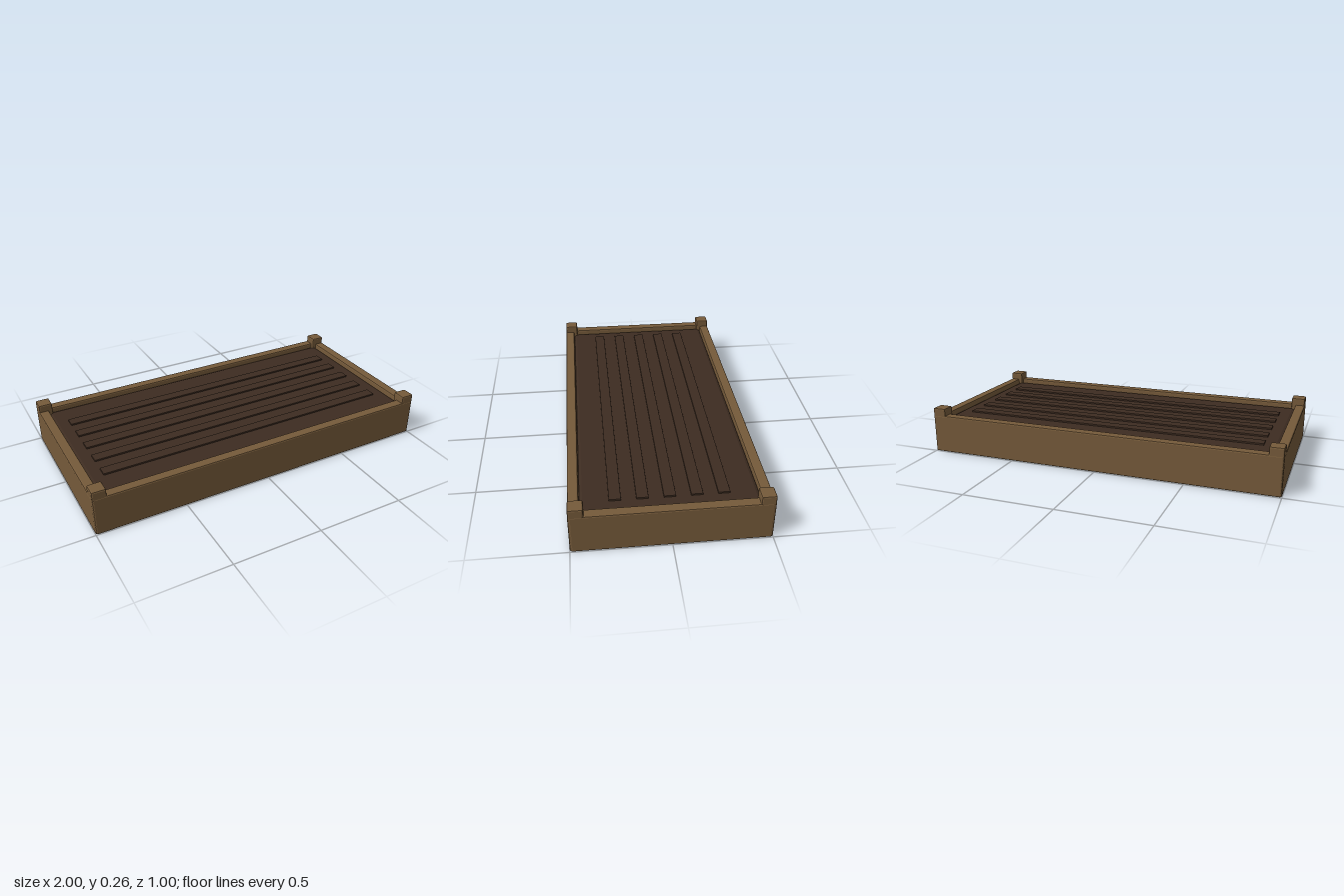
import * as THREE from 'three';
import { RoundedBoxGeometry } from 'three/addons/geometries/RoundedBoxGeometry.js';

export function createModel() {
  const bed = new THREE.Group();
  bed.name = 'raisedGardenBed';

  const wood = new THREE.MeshStandardMaterial({ color: 0x755a3a, flatShading: true });
  wood.name = 'wood';
  const soil = new THREE.MeshStandardMaterial({ color: 0x3d2c21, flatShading: true });
  soil.name = 'soil';

  // Chamfered block given by its lower and upper corners
  function block(name, material, [x0, y0, z0], [x1, y1, z1], bevel) {
    const mesh = new THREE.Mesh(new RoundedBoxGeometry(x1 - x0, y1 - y0, z1 - z0, 1, bevel), material);
    mesh.name = name;
    mesh.position.set((x0 + x1) / 2, (y0 + y1) / 2, (z0 + z1) / 2);
    bed.add(mesh);
  }

  // Mirrors a span to the negative side
  const span = (s, a, b) => (s > 0 ? [a, b] : [-b, -a]);

  const rim = 0.218;
  for (const s of [1, -1]) {
    // Long and short outer boards
    const [z0, z1] = span(s, 0.445, 0.5);
    block(s > 0 ? 'frontBoard' : 'backBoard', wood, [-0.998, 0, z0], [0.998, rim, z1], 0.008);
    const [x0, x1] = span(s, 0.945, 1);
    block(s > 0 ? 'leftBoard' : 'rightBoard', wood, [x0, 0, -0.495], [x1, rim, 0.495], 0.008);

    // Corner posts standing above the rim
    for (const t of [1, -1]) {
      const [px0, px1] = span(s, 0.922, 0.999);
      const [pz0, pz1] = span(t, 0.423, 0.499);
      block('cornerPost', wood, [px0, 0.002, pz0], [px1, 0.26, pz1], 0.008);
    }
  }

  // Soil with bevelled edges and low planting ridges
  block('soilBed', soil, [-0.948, 0.025, -0.448], [0.948, 0.193, 0.448], 0.02);
  for (let i = -2; i <= 2; i++) {
    const z = i * 0.135;
    block('soilRidge', soil, [-0.87, 0.18, z - 0.03], [0.87, 0.202, z + 0.03], 0.002);
  }

  return bed;
}
